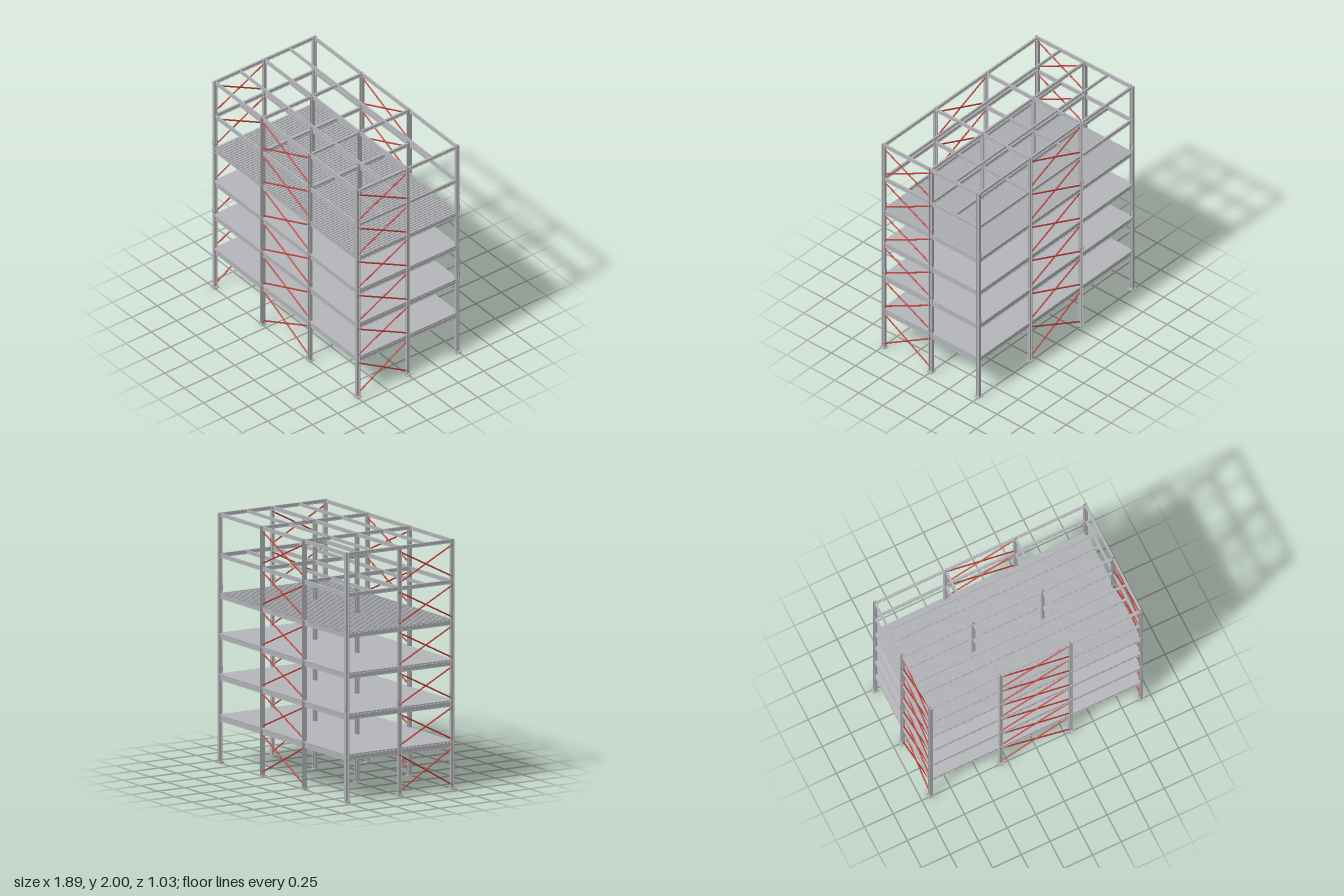
import * as THREE from 'three';

const steel = new THREE.MeshStandardMaterial({ color: 0xafb0b4 });
steel.name = 'steel grey';
const concrete = new THREE.MeshStandardMaterial({ color: 0xb5b6ba });
concrete.name = 'concrete grey';
const red = new THREE.MeshStandardMaterial({ color: 0xbe3c34 });
red.name = 'brace red';

const XS = [-0.92, -0.305, 0.305, 0.92];           // column lines
const ZS = [-0.49, 0, 0.49];
const LEVELS = [0.372, 0.698, 1.024, 1.349, 1.675, 2.0]; // top of steel
const DEPTHS = [0.038, 0.036, 0.034, 0.034, 0.031, 0.028];

function add(parent, name, geometry, material, x = 0, y = 0, z = 0) {
  const mesh = new THREE.Mesh(geometry, material);
  mesh.name = name;
  mesh.position.set(x, y, z);
  parent.add(mesh);
  return mesh;
}

// I-section bar along z, centred, flanges at top and bottom
function iBar(length, depth, width, tf = 0.004, tw = 0.004) {
  const d = depth / 2, w = width / 2, t = tw / 2, f = d - tf;
  const pts = [[-w, -d], [w, -d], [w, -f], [t, -f], [t, f], [w, f],
    [w, d], [-w, d], [-w, f], [-t, f], [-t, -f], [-w, -f]];
  const shape = new THREE.Shape(pts.map(p => new THREE.Vector2(p[0], p[1])));
  const g = new THREE.ExtrudeGeometry(shape, { depth: length, bevelEnabled: false });
  return g.translate(0, 0, -length / 2);
}

// Sheet with a flat underside and square ribs on top, running along z, base at y = 0
function deckGeometry() {
  const ribs = 70, half = 0.925, pitch = (2 * half) / ribs, h = 0.008, t = 0.002;
  const pts = [[half, 0], [-half, 0]];
  for (let i = 0; i < ribs; i++) {
    const x = -half + i * pitch;
    [[0, t], [0.45, t], [0.45, h], [1, h]].forEach(p => pts.push([x + p[0] * pitch, p[1]]));
  }
  const shape = new THREE.Shape(pts.map(p => new THREE.Vector2(p[0], p[1])));
  const g = new THREE.ExtrudeGeometry(shape, { depth: 1.0, bevelEnabled: false });
  return g.translate(0, 0, -0.5);
}

function makeColumns(root) {
  const depth = 0.032, width = 0.025;
  const shaft = iBar(2, depth, width).rotateX(-Math.PI / 2);
  const innerShaft = iBar(2, 0.026, 0.03).rotateX(-Math.PI / 2).rotateY(Math.PI / 2);
  const base = new THREE.BoxGeometry(0.05, 0.007, 0.05);
  const bolt = new THREE.CylinderGeometry(0.002, 0.002, 0.006, 6);
  for (const x of XS) for (const z of ZS) {
    const column = new THREE.Group();
    column.name = 'column';
    column.position.set(x, 0, z);
    root.add(column);
    const inner = Math.abs(x) < 0.5;
    add(column, 'columnShaft', inner ? innerShaft : shaft, steel, 0, 1, 0);
    add(column, 'basePlate', base, steel, 0, 0.0035, 0);
    for (const sx of [-1, 1]) for (const sz of [-1, 1])
      add(column, 'anchorBolt', bolt, steel, sx * 0.02, 0.01, sz * 0.02);
    // splice plates on the flange faces
    for (const y of [0.748, 1.402]) for (const s of [-1, 1]) {
      if (inner) add(column, 'splicePlate', new THREE.BoxGeometry(0.003, 0.048, 0.026), steel, s * 0.0145, y, 0);
      else add(column, 'splicePlate', new THREE.BoxGeometry(0.022, 0.048, 0.003), steel, 0, y, s * 0.0175);
    }
  }
}

function makeBeams(root, top, depth) {
  const frame = new THREE.Group();
  frame.name = 'floorFrame';
  root.add(frame);
  // long beams in each bay; the ones between column lines are shallower
  for (let i = 0; i < 3; i++) {
    const cx = (XS[i] + XS[i + 1]) / 2, span = XS[i + 1] - XS[i];
    const main = iBar(span - 0.025, depth, 0.017).rotateY(Math.PI / 2);
    const small = iBar(span - 0.008, depth * 0.85, 0.014).rotateY(Math.PI / 2);
    for (const z of ZS) add(frame, 'longBeam', main, steel, cx, top - depth / 2, z);
    for (const z of [-0.245, 0.245])
      add(frame, 'secondaryBeam', small, steel, cx, top - depth * 0.425, z);
  }
  // cross beams
  const cross = iBar(0.49 - 0.03, depth, 0.017);
  for (const x of XS) for (const z of [-0.245, 0.245])
    add(frame, 'crossBeam', cross, steel, x, top - depth / 2, z);
}

// Rod between two points
function rod(parent, a, b) {
  const dir = b.clone().sub(a);
  const mesh = add(parent, 'braceRod',
    new THREE.CylinderGeometry(0.006, 0.006, dir.length(), 12), red);
  mesh.position.copy(a).add(b).multiplyScalar(0.5);
  mesh.quaternion.setFromUnitVectors(new THREE.Vector3(0, 1, 0), dir.normalize());
}

function makeBracing(root) {
  const V = (x, y, z) => new THREE.Vector3(x, y, z);
  const braces = new THREE.Group();
  braces.name = 'crossBracing';
  root.add(braces);
  LEVELS.forEach((level, i) => {
    const lo = i ? LEVELS[i - 1] + 0.03 : 0.035, hi = level - 0.044;
    for (const s of [-1, 1]) {
      // middle bay of both long sides
      rod(braces, V(-0.298, lo, s * 0.49), V(0.298, hi, s * 0.49));
      rod(braces, V(-0.298, hi, s * 0.49), V(0.298, lo, s * 0.49));
      // front bay of both short sides
      rod(braces, V(s * 0.92, lo, 0.0), V(s * 0.92, hi, 0.49));
      rod(braces, V(s * 0.92, hi, 0.0), V(s * 0.92, lo, 0.49));
    }
  });
}

export function createModel() {
  const root = new THREE.Group();
  root.name = 'steelFrameBuilding';
  makeColumns(root);
  LEVELS.forEach((top, i) => makeBeams(root, top, DEPTHS[i]));

  // ribbed decks on four floors, with concrete over the lower three
  const deck = deckGeometry();
  const slab = new THREE.BoxGeometry(1.85, 0.007, 1.0);
  for (let i = 0; i < 4; i++) {
    add(root, 'ribbedDeck', deck, steel, 0, LEVELS[i], 0);
    if (i < 3) add(root, 'floorSlab', slab, concrete, 0, LEVELS[i] + 0.0105, 0);
  }
  makeBracing(root);
  return root;
}
